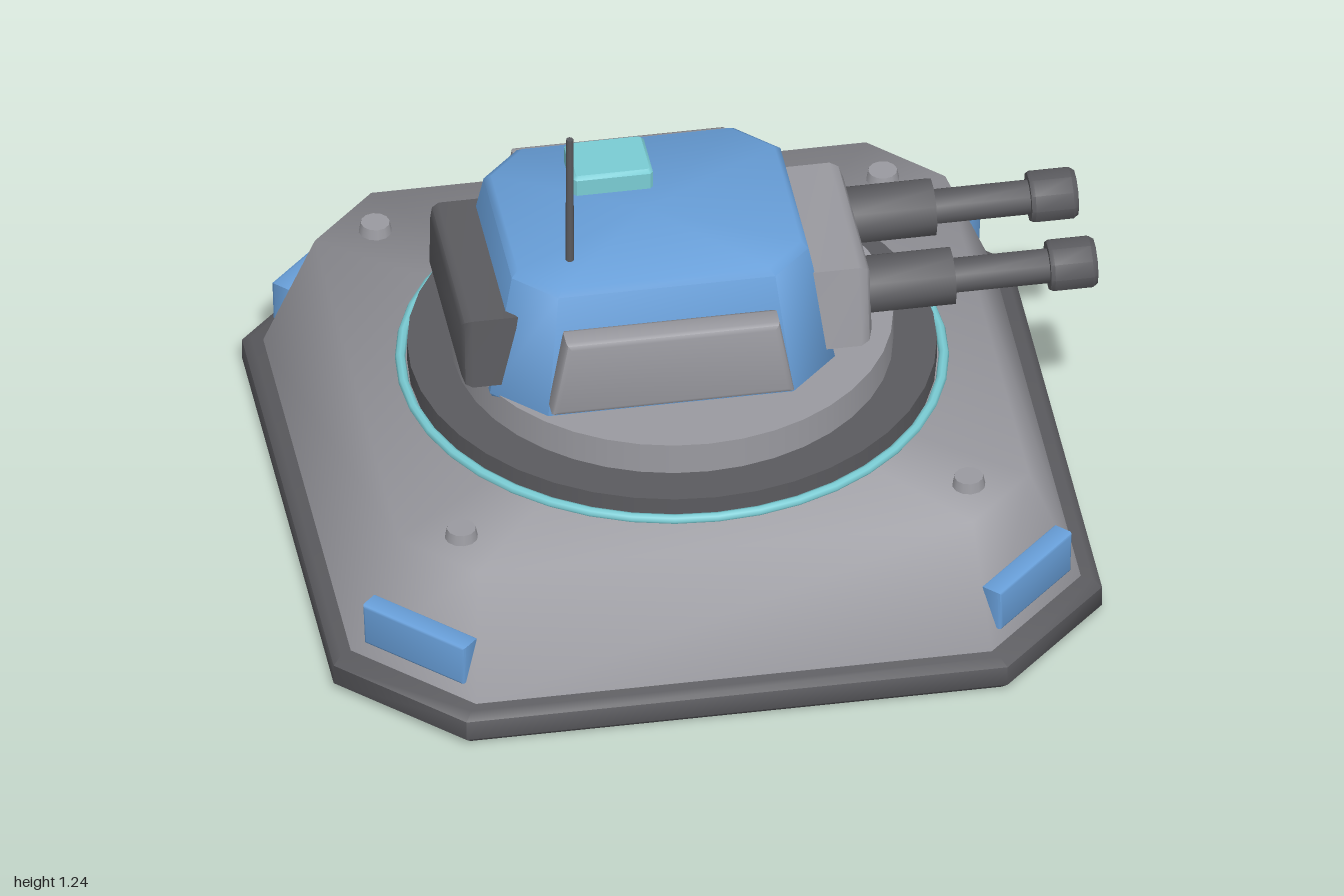
import * as THREE from 'three';
import { toCreasedNormals } from 'three/addons/utils/BufferGeometryUtils.js';

const paint = (name, color) => {
  const m = new THREE.MeshStandardMaterial({ color });
  m.name = name;
  return m;
};

// Stacked corner-cut rectangles, each ring = [y, halfX, halfZ, cut], capped at both ends
function octLoft(rings, crease) {
  const pos = [], index = [];
  for (const [y, hx, hz, c] of rings) {
    const corners = [
      [hx, -hz + c], [hx, hz - c], [hx - c, hz], [-hx + c, hz],
      [-hx, hz - c], [-hx, -hz + c], [-hx + c, -hz], [hx - c, -hz],
    ];
    for (const [x, z] of corners) pos.push(x, y, z);
  }
  const top = (rings.length - 1) * 8, n = rings.length * 8;
  pos.push(0, rings[0][0], 0, 0, rings[rings.length - 1][0], 0);
  for (let i = 0; i < 8; i++) {
    const j = (i + 1) % 8;
    for (let r = 0; r < top; r += 8) {
      index.push(r + i, r + 8 + i, r + j, r + j, r + 8 + i, r + 8 + j);
    }
    index.push(n, i, j, n + 1, top + j, top + i);
  }
  const g = new THREE.BufferGeometry();
  g.setAttribute('position', new THREE.Float32BufferAttribute(pos, 3));
  g.setIndex(index);
  return toCreasedNormals(g, crease);
}

// Bevelled trapezoid panel, centred, facing +z
function panel(bottomW, topW, h, depth, bevel) {
  const b = bottomW / 2 - bevel, t = topW / 2 - bevel, k = h / 2 - bevel;
  const shape = new THREE.Shape([
    new THREE.Vector2(-b, -k), new THREE.Vector2(b, -k),
    new THREE.Vector2(t, k), new THREE.Vector2(-t, k),
  ]);
  const g = new THREE.ExtrudeGeometry(shape, {
    depth: depth - 2 * bevel, bevelEnabled: true,
    bevelSize: bevel, bevelThickness: bevel, bevelSegments: 2,
  });
  g.translate(0, 0, -depth / 2 + bevel);
  return toCreasedNormals(g, 0.9);
}

export function createModel() {
  const grey = paint('light grey armour', 0x9a9aa0);
  const dark = paint('dark metal', 0x5b5b5f);
  const blue = paint('blue armour', 0x689fd9);
  const teal = paint('teal accent', 0x7accd4);

  const model = new THREE.Group();
  model.name = 'gunTurret';
  const add = (parent, name, geo, mat, x = 0, y = 0, z = 0) => {
    const m = new THREE.Mesh(geo, mat);
    m.name = name;
    m.position.set(x, y, z);
    parent.add(m);
    return m;
  };

  // Base: skirt, sloped hull, corner plates and bolts
  const base = new THREE.Group();
  base.name = 'base';
  base.position.x = -0.037;
  model.add(base);
  add(base, 'skirt', octLoft([
    [0, 0.945, 0.945, 0.28], [0.018, 0.963, 0.963, 0.285],
    [0.072, 0.963, 0.963, 0.285], [0.09, 0.942, 0.942, 0.28],
  ], 0.9), dark);
  add(base, 'hull', octLoft([
    [0.085, 0.917, 0.917, 0.27], [0.4, 0.79, 0.79, 0.17],
  ], 1.35), grey);
  const plateGeo = panel(0.3, 0.31, 0.115, 0.06, 0.008);
  const boltGeo = new THREE.CylinderGeometry(0.036, 0.042, 0.03, 12);
  for (const sx of [-1, 1]) for (const sz of [-1, 1]) {
    const plate = add(base, 'cornerPlate', plateGeo, blue, sx * 0.76, 0.188, sz * 0.76);
    plate.rotation.y = Math.atan2(sx, sz);
    add(base, 'bolt', boltGeo, grey, sx * 0.636, 0.412, sz * 0.636);
  }

  // Turning ring and drum
  const ring = add(base, 'accentRing', new THREE.TorusGeometry(0.672, 0.013, 8, 40), teal, 0, 0.406, 0);
  ring.rotation.x = Math.PI / 2;
  add(base, 'turningRing', new THREE.CylinderGeometry(0.655, 0.655, 0.06, 40), dark, 0, 0.425, 0);
  add(base, 'drum', new THREE.CylinderGeometry(0.547, 0.547, 0.1, 40), grey, 0, 0.49, 0);

  // Turret body
  const turret = new THREE.Group();
  turret.name = 'turret';
  model.add(turret);
  add(turret, 'turretBody', octLoft([
    [0.52, 0.425, 0.36, 0.12], [0.535, 0.433, 0.37, 0.125],
    [0.855, 0.372, 0.308, 0.1], [0.87, 0.355, 0.291, 0.095],
  ], 0.95), blue, -0.102, 0, 0);

  // Side, front and rear armour blocks
  const sideGeo = panel(0.605, 0.54, 0.215, 0.075, 0.015);
  for (const s of [-1, 1]) {
    const side = add(turret, 'sideArmour', sideGeo, grey, -0.103, 0.678, s * 0.38);
    if (s < 0) side.rotation.y = Math.PI;
  }
  const mantlet = add(turret, 'gunMantlet', panel(0.51, 0.45, 0.215, 0.19, 0.03), grey, 0.33, 0.678, 0);
  mantlet.rotation.y = Math.PI / 2;
  const rear = add(turret, 'rearBox', panel(0.52, 0.5, 0.195, 0.16, 0.025), dark, -0.525, 0.666, 0);
  rear.rotation.y = -Math.PI / 2;

  // Twin guns: each profile runs from breech to muzzle, ending in a shallow bore
  const profile = [
    [0, 0.4], [0.074, 0.4], [0.074, 0.64], [0.045, 0.64], [0.045, 0.88],
    [0.062, 0.88], [0.067, 0.89], [0.067, 0.985], [0.058, 0.998],
    [0.036, 0.998], [0.036, 0.95], [0, 0.95],
  ].map(([r, y]) => new THREE.Vector2(r, y));
  const gunGeo = toCreasedNormals(new THREE.LatheGeometry(profile, 10), 0.7);
  for (const z of [-0.143, 0.143]) {
    add(turret, 'gunBarrel', gunGeo, dark, 0, 0.675, z).rotation.z = -Math.PI / 2;
  }

  // Roof hatch and antenna
  add(turret, 'roofHatch', octLoft([
    [0.86, 0.1, 0.076, 0.008], [0.915, 0.1, 0.076, 0.008], [0.925, 0.092, 0.068, 0.006],
  ], 0.6), teal, -0.17, 0, -0.155);
  add(turret, 'antenna', new THREE.CylinderGeometry(0.009, 0.011, 0.39, 8), dark, -0.323, 1.047, 0.175);

  return model;
}
